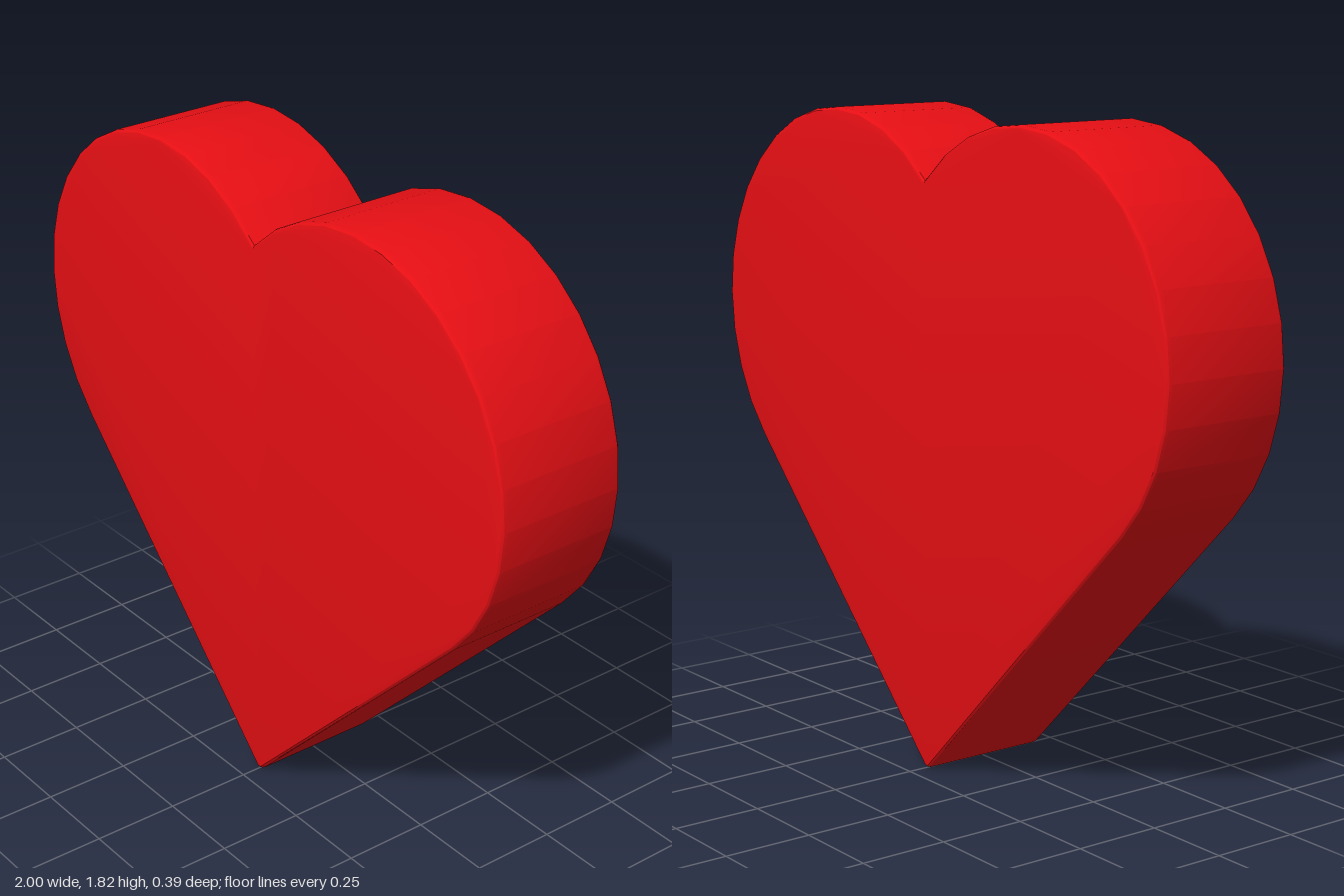
import * as THREE from 'three';
import { toCreasedNormals } from 'three/addons/utils/BufferGeometryUtils.js';

export function createModel() {
  const group = new THREE.Group();
  group.name = 'heart';

  const radius = 0.585;           // round lobes
  const tip = 0.02;               // small rounding of the bottom point
  const depth = 0.39;
  const bevel = 0.014;
  const lobeX = radius * Math.SQRT1_2;
  const lobeY = 3 * lobeX + tip * (1 - Math.SQRT2);
  const q = Math.PI / 4;

  // Outline: bottom tip, right lobe up to the notch, left lobe back down
  const outline = new THREE.Shape();
  outline.absarc(0, tip, tip, -3 * q, -q, false);
  outline.absarc(lobeX, lobeY, radius, -q, 3 * q, false);
  outline.absarc(-lobeX, lobeY, radius, q, 5 * q, false);
  outline.closePath();

  // Thick slab with softly broken edges
  const slab = new THREE.ExtrudeGeometry(outline, {
    depth: depth - 2 * bevel,
    curveSegments: 8,
    bevelThickness: bevel,
    bevelSize: bevel,
    bevelOffset: -bevel,
    bevelSegments: 3,
  });
  slab.translate(0, 0, bevel - depth / 2);

  const body = new THREE.Mesh(
    toCreasedNormals(slab, 0.3),
    new THREE.MeshStandardMaterial({ color: 0xe60f14 })
  );
  body.name = 'heartBody';
  group.add(body);
  return group;
}
